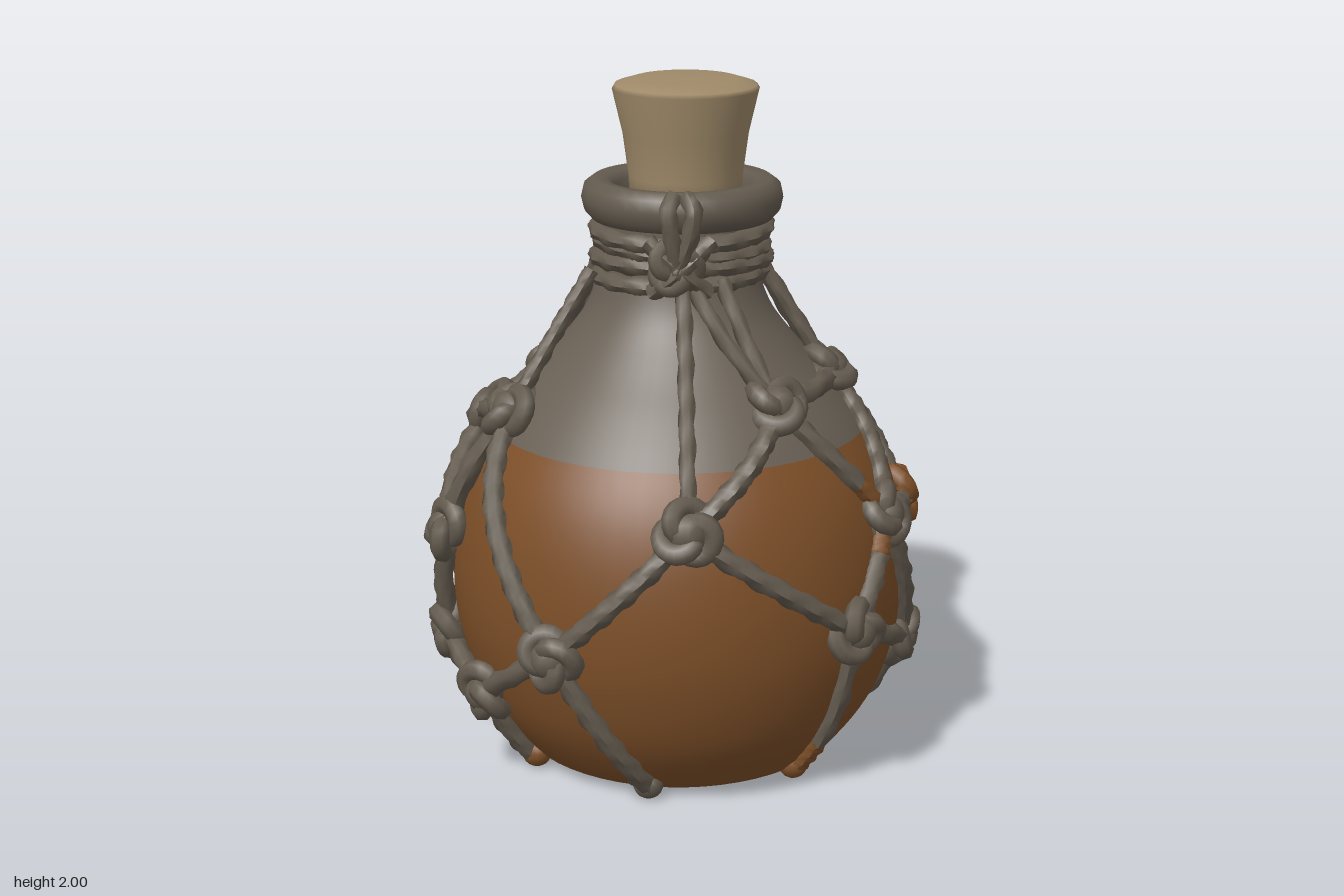
import * as THREE from 'three';

const mat = (name, color, double) => {
  const m = new THREE.MeshStandardMaterial({ color });
  m.name = name;
  if (double) m.side = THREE.DoubleSide;
  return m;
};
const vec2s = (list) => list.map(([x, y]) => new THREE.Vector2(x, y));
const path3 = (list) => new THREE.CatmullRomCurve3(list.map((p) => new THREE.Vector3(...p)));

// Bottle outline as [radius, height]
const outline = [
  [0.45, 0.02], [0.495, 0.055], [0.595, 0.2], [0.655, 0.38], [0.672, 0.55], [0.657, 0.72], [0.615, 0.87],
  [0.545, 1.0], [0.46, 1.11], [0.36, 1.22], [0.275, 1.33], [0.235, 1.43], [0.225, 1.53], [0.225, 1.64],
];
const profile = new THREE.SplineCurve(vec2s(outline)).getPoints(65);
const LEVEL = 1.0;

function radiusAt(y) {
  if (y <= profile[0].y) return profile[0].x;
  for (let i = 1; i < profile.length; i++) {
    const a = profile[i - 1], b = profile[i];
    if (y <= b.y) return a.x + ((b.x - a.x) * (y - a.y)) / (b.y - a.y);
  }
  return profile[profile.length - 1].x;
}

// Knots of the net: x, height, z
const knots = {
  A: [0.28, 1.14, 0.4], B: [0.45, 1.15, 0.05], C: [0.45, 1.09, -0.22],
  D: [-0.05, 1.09, -0.52], E: [-0.35, 1.08, -0.38], F: [-0.45, 1.08, 0.17],
  G: [0.0, 0.86, 0.67], H: [0.59, 0.8, 0.33], I: [0.69, 0.73, -0.08],
  J: [0.33, 0.82, -0.58], K: [-0.35, 0.83, -0.56], L: [-0.54, 0.97, -0.22],
  M: [-0.65, 0.71, 0.12], N: [-0.38, 0.48, 0.59], O: [0.5, 0.51, 0.52],
  P: [0.66, 0.35, 0.13], Q: [0.4, 0.32, -0.52], R: [-0.03, 0.42, -0.7],
  S: [-0.67, 0.37, 0.04], T: [-0.56, 0.27, 0.31],
};

// Ropes between knots
const links = ['AB', 'BC', 'CJ', 'DJ', 'DE', 'EK', 'EL', 'FL', 'LK', 'LM', 'MS', 'ST', 'TN', 'FN', 'FM',
  'GA', 'GN', 'GO', 'AH', 'BH', 'HI', 'HO', 'HP', 'OP', 'CI', 'IQ', 'JQ', 'JR', 'QR', 'DK', 'JP'];
// Stretches of rope stained by the liquid, as fractions of the link
const stains = { HI: [0.6, 1], CJ: [0.55, 1], IQ: [0.3, 0.55], AH: [0.7, 1], HO: [0.1, 0.35], JP: [0.84, 1], JQ: [0.15, 0.4] };
const stainedEnds = 'OPQT';

// Ropes from a knot to the neck and to the base: knot, angle from the front in degrees
const neckTies = [['G', 2], ['A', 8], ['A', 28], ['B', 88], ['C', 110], ['D', 163], ['D', 190],
  ['E', 222], ['E', 237], ['F', 286]];
const baseEnds = [['N', -12], ['O', 42], ['P', 90], ['Q', 141], ['R', 208], ['S', 265], ['T', 300]];

const polar = (deg, y) => {
  const a = THREE.MathUtils.degToRad(deg), r = radiusAt(y);
  return [r * Math.sin(a), y, r * Math.cos(a)];
};

// Taut curve between two points, resting on the bottle where it bulges
function surfacePath(p, q, lift = 0.02, sag = 0) {
  const a0 = Math.atan2(p[0], p[2]);
  let da = Math.atan2(q[0], q[2]) - a0;
  da = Math.atan2(Math.sin(da), Math.cos(da));
  const pts = [];
  for (let i = 0; i <= 8; i++) {
    const t = i / 8, a = a0 + da * t;
    const y = THREE.MathUtils.lerp(p[1], q[1], t) - sag * Math.sin(Math.PI * t);
    const r = lift + Math.max(radiusAt(y), THREE.MathUtils.lerp(radiusAt(p[1]), radiusAt(q[1]), t));
    pts.push([r * Math.sin(a), y, r * Math.cos(a)]);
  }
  return path3(pts);
}

// Tube with three strands twisting along its length
function ropeGeometry(path, radius, closed = false) {
  const length = path.getLength();
  const segs = Math.max(12, Math.round(length / 0.018)), sides = 9;
  const geo = new THREE.TubeGeometry(path, segs, radius, sides, closed);
  const pos = geo.attributes.position, nor = geo.attributes.normal;
  const turns = Math.max(1, Math.round(length / 0.3));
  for (let i = 0; i < pos.count; i++) {
    const s = Math.floor(i / (sides + 1)) / segs, a = ((i % (sides + 1)) / sides) * Math.PI * 2;
    const d = radius * 0.17 * Math.cos(3 * (a - s * turns * Math.PI * 2));
    pos.setXYZ(i, pos.getX(i) + nor.getX(i) * d, pos.getY(i) + nor.getY(i) * d, pos.getZ(i) + nor.getZ(i) * d);
  }
  geo.computeVertexNormals();
  return geo;
}

export function createModel() {
  const model = new THREE.Group();
  const liquid = mat('amber liquid', 0x7d4f28, true);
  const glass = mat('smoky glass', 0x696055, true);
  const rope = mat('rope', 0x645b4f, true);
  const cork = mat('cork', 0x9f8a69);

  const add = (parent, name, geo, material, x = 0, y = 0, z = 0) => {
    const mesh = new THREE.Mesh(geo, material);
    mesh.name = name;
    mesh.position.set(x, y, z);
    parent.add(mesh);
    return mesh;
  };

  // Bottle: filled part with a flat foot, clear part above
  const edge = new THREE.Vector2(radiusAt(LEVEL), LEVEL);
  const low = profile.filter((p) => p.y < LEVEL - 0.005), high = profile.filter((p) => p.y > LEVEL + 0.005);
  const foot = vec2s([[0, 0.015], [0.42, 0.015]]);
  add(model, 'filledBody', new THREE.LatheGeometry([...foot, ...low, edge], 56), liquid, 0.01, 0, 0.005);
  add(model, 'shoulderAndNeck', new THREE.LatheGeometry([edge, ...high], 56), glass, 0.01, 0, 0.005);

  // Rounded lip
  const lip = vec2s([[0.19, 1.62], [0.26, 1.6], [0.282, 1.625], [0.29, 1.66], [0.282, 1.695], [0.255, 1.715],
    [0.215, 1.71], [0.19, 1.69], [0.18, 1.64]]);
  add(model, 'lip', new THREE.LatheGeometry(lip, 40), rope, 0.02, 0, -0.005);

  // Cork flaring upward with a softly worn top edge
  const corkOutline = vec2s([[0, 1.62], [0.16, 1.62], [0.164, 1.72], [0.18, 1.84], [0.21, 1.968], [0.203, 1.98],
    [0.15, 1.996], [0, 2.0]]);
  add(model, 'cork', new THREE.LatheGeometry(corkOutline, 24), cork, 0.03, 0, -0.005).scale.z = 1.06;

  // Net
  const net = new THREE.Group();
  net.name = 'ropeNet';
  model.add(net);
  const R = 0.029;
  // Adds one rope, with the stretch between two fractions stained
  const addRope = (name, path, [from, to] = [1, 1]) => {
    const pts = path.getSpacedPoints(40);
    [[0, from, rope], [from, to, liquid], [to, 1, rope]].forEach(([s, e, m]) => {
      const part = pts.slice(Math.round(s * 40), Math.round(e * 40) + 1);
      if (part.length > 1) add(net, name, ropeGeometry(new THREE.CatmullRomCurve3(part), R), m);
    });
  };
  for (const link of links) {
    const sag = link === 'JP' ? 0.08 : 0;
    addRope('netRope', surfacePath(knots[link[0]], knots[link[1]], 0.02, sag), stains[link]);
  }
  // Rope joining halfway along another at the back
  addRope('netRope', surfacePath(knots.K, polar(176, 0.59), 0.015));

  for (const [k, deg] of neckTies) {
    add(net, 'neckTie', ropeGeometry(surfacePath(polar(deg, 1.46), knots[k], 0.022), 0.022), rope);
  }
  for (const [k, deg] of baseEnds) {
    const end = polar(deg, 0.045);
    addRope('baseRope', surfacePath(knots[k], end, 0.014), k === 'O' ? [0.75, 1] : [1, 1]);
    const m = stainedEnds.includes(k) ? liquid : rope;
    add(net, 'baseRopeEnd', new THREE.SphereGeometry(0.045, 12, 9), m, end[0], 0.047, end[2]);
  }

  // Knots turned to face away from the bottle
  const tangle = new THREE.TorusKnotGeometry(0.05, 0.03, 56, 7, 2, 3);
  const core = new THREE.SphereGeometry(0.058, 10, 8);
  Object.entries(knots).forEach(([key, [x, y, z]], i) => {
    const knot = new THREE.Group();
    knot.name = 'knot';
    const r = radiusAt(y) + 0.026, a = Math.atan2(x, z);
    knot.position.set(r * Math.sin(a), y, r * Math.cos(a));
    knot.lookAt(x * 2, y + (y - 0.5) * 0.9, z * 2);
    knot.rotateZ(i * 1.3);
    add(knot, 'knotTangle', tangle, key === 'I' ? liquid : rope);
    add(knot, 'knotCore', core, 'IJ'.includes(key) ? liquid : rope);
    net.add(knot);
  });

  // Rope wound round the neck
  for (let i = 0; i < 4; i++) {
    const pts = [];
    for (let k = 0; k < 20; k++) {
      const a = (k / 20) * Math.PI * 2, r = 0.234 + 0.008 * (i % 2);
      pts.push([r * Math.sin(a), 1.445 + i * 0.043 + 0.012 * Math.sin(a + i * 1.7), r * Math.cos(a)]);
    }
    const ring = path3(pts);
    ring.closed = true;
    add(net, 'neckWrap', ropeGeometry(ring, 0.026, true), rope, 0.018);
  }

  // Front tie: knot on the wraps and a loop over the lip
  add(net, 'frontTie', tangle, rope, -0.015, 1.51, 0.27).scale.set(0.85, 0.85, 0.7);
  for (const s of [-1, 1]) {
    const loop = [[-0.01, 1.5, 0.28], [0.025 * s, 1.6, 0.3], [0.035 * s, 1.67, 0.3], [0.018 * s, 1.708, 0.26]];
    add(net, 'lipLoop', ropeGeometry(path3(loop), 0.024), rope);
    const cross = [[-0.08 * s, 1.43, 0.245], [0, 1.5, 0.285], [0.09 * s, 1.58, 0.25]];
    add(net, 'crossTie', ropeGeometry(path3(cross), 0.024), rope);
  }
  return model;
}
